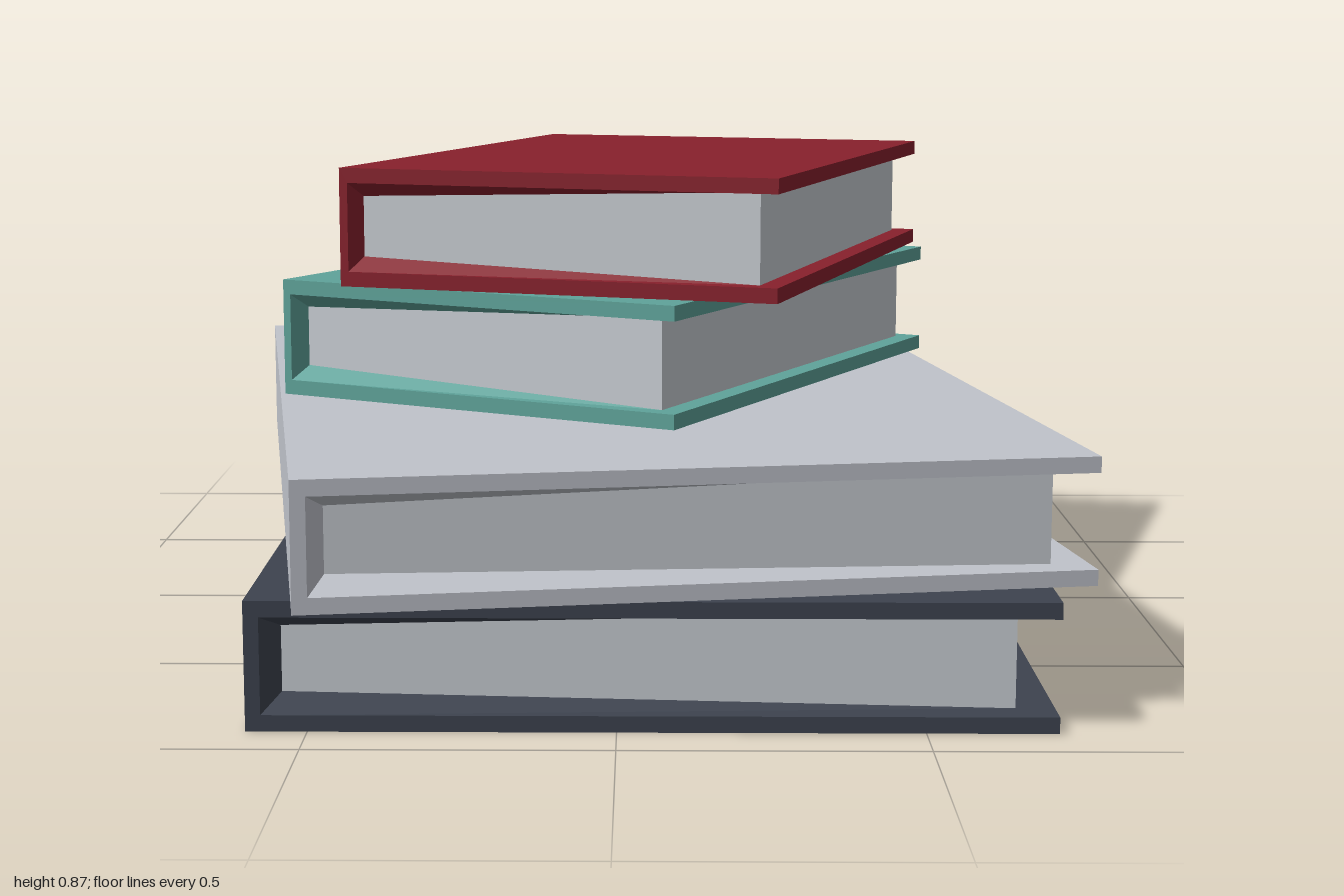
import * as THREE from 'three';

const mat = (name, color) => {
  const m = new THREE.MeshStandardMaterial({ color });
  m.name = name;
  return m;
};

// Book section, centred on its own middle
const H = 0.2165, HALF = H / 2;
const W = 0.6575, D = 0.905;           // half width and half depth of the cover
const IN = 0.081;                      // half height between the boards
const SPINE = -W + 0.025;              // inner face of the spine
const PAGE_L = -0.604, PAGE_R = 0.593, PAGE_D = 0.853, PAGE_H = 0.0555;

// Extrude an outline along z, centred
function slab(points, halfDepth) {
  const shape = new THREE.Shape(points.map(([x, y]) => new THREE.Vector2(x, y)));
  const g = new THREE.ExtrudeGeometry(shape, { depth: halfDepth * 2, bevelEnabled: false });
  return g.translate(0, 0, -halfDepth);
}

// Sloped lining where the boards and spine run in to the pages at one end
function liningGeometry() {
  const a = [SPINE, -IN, D], p = [PAGE_R, -IN, PAGE_D], q = [PAGE_L, -PAGE_H, PAGE_D];
  const up = ([x, y, z]) => [x, -y, z];
  const tris = [a, p, q, up(a), up(q), up(p), a, q, up(q), a, up(q), up(a)];
  const g = new THREE.BufferGeometry();
  g.setAttribute('position', new THREE.Float32BufferAttribute(tris.flat(), 3));
  g.computeVertexNormals();
  return g;
}

export function createModel() {
  const model = new THREE.Group();
  model.name = 'bookStack';

  const paper = mat('paper', 0xc9ced4);
  // C-shaped cover: two boards joined by the spine
  const coverGeo = slab([
    [-W, -HALF], [W, -HALF], [W, -IN], [SPINE, -IN],
    [SPINE, IN], [W, IN], [W, HALF], [-W, HALF],
  ], D);
  // Page block, thinner towards the spine
  const pagesGeo = slab([
    [PAGE_L, -PAGE_H], [PAGE_R, -IN], [PAGE_R, IN], [PAGE_L, PAGE_H],
  ], PAGE_D);
  const liningGeo = liningGeometry();

  // Books from bottom to top: name, cover, x, z, turn, size
  const books = [
    ['navyBook', mat('navy cover', 0x3d434f), 0.057, 0, 0, 1],
    ['greyBook', mat('grey cover', 0xc0c3cb), -0.003, 0, 0.16, 1],
    ['tealBook', mat('teal cover', 0x5fa39a), -0.003, -0.14, -0.488, 0.627],
    ['redBook', mat('red cover', 0x88202c), 0.055, -0.138, -0.312, 0.627],
  ];

  books.forEach(([name, cover, x, z, turn, size], i) => {
    const book = new THREE.Group();
    book.name = name;
    const add = (part, geo, material) => {
      const m = new THREE.Mesh(geo, material);
      m.name = part;
      book.add(m);
      return m;
    };
    add('cover', coverGeo, cover);
    add('pages', pagesGeo, paper);
    add('frontLining', liningGeo, cover);
    add('backLining', liningGeo, cover).rotation.x = Math.PI;
    book.position.set(x, HALF + i * H, z);
    book.rotation.y = turn;
    book.scale.set(size, 1, size);
    model.add(book);
  });

  return model;
}
